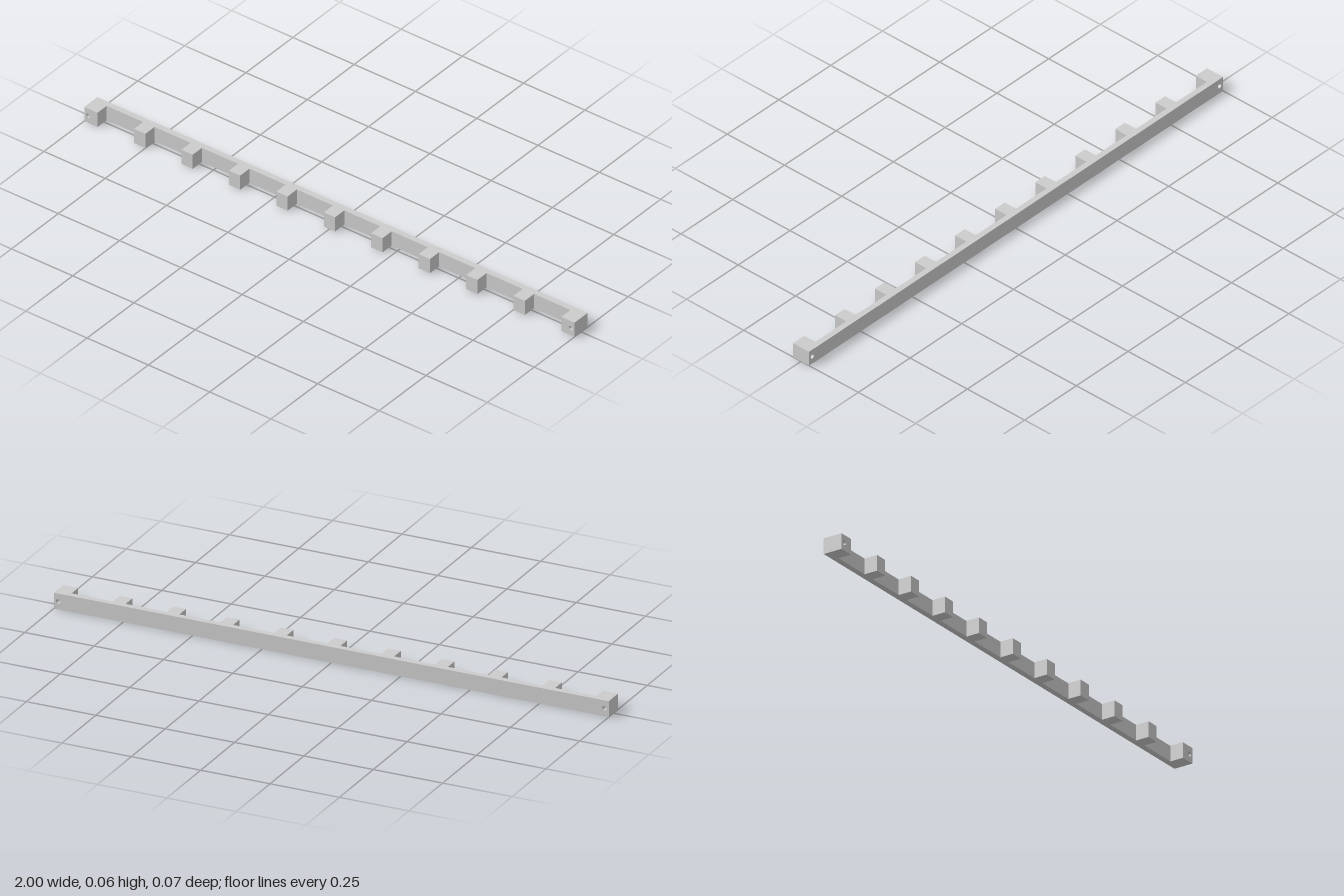
import * as THREE from 'three';

const HEIGHT = 0.056, BACK = -0.035, FRONT = 0.035, RAIL_FRONT = -0.014;
const END_WIDTH = 0.054, TOOTH_WIDTH = 0.046, PITCH = 0.1935, TEETH = 9;
const HOLE_RADIUS = 0.008, HOLE_INSET = 0.016;

const material = new THREE.MeshStandardMaterial({ color: 0xcccccc });

// Back rail with its row of teeth: plan outline extruded upwards
function createToothedRail() {
  const half = 1 - END_WIDTH;
  const plan = new THREE.Shape();
  plan.moveTo(half, -BACK);
  plan.lineTo(-half, -BACK);
  plan.lineTo(-half, -RAIL_FRONT);
  for (let i = 0; i < TEETH; i++) {
    const x = (i - (TEETH - 1) / 2) * PITCH;
    const l = x - TOOTH_WIDTH / 2, r = x + TOOTH_WIDTH / 2;
    plan.lineTo(l, -RAIL_FRONT);
    plan.lineTo(l, -FRONT);
    plan.lineTo(r, -FRONT);
    plan.lineTo(r, -RAIL_FRONT);
  }
  plan.lineTo(half, -RAIL_FRONT);
  plan.closePath();
  const geometry = new THREE.ExtrudeGeometry(plan, { depth: HEIGHT, bevelEnabled: false });
  geometry.rotateX(-Math.PI / 2);
  const mesh = new THREE.Mesh(geometry, material);
  mesh.name = 'toothedRail';
  return mesh;
}

// End block with a screw hole running from front to back
function createEndBlock(side) {
  const inner = side * (1 - END_WIDTH);
  const x0 = Math.min(inner, side), x1 = Math.max(inner, side);
  const face = new THREE.Shape();
  face.moveTo(x0, 0);
  face.lineTo(x1, 0);
  face.lineTo(x1, HEIGHT);
  face.lineTo(x0, HEIGHT);
  face.closePath();
  const hole = new THREE.Path();
  hole.absarc(side * (1 - HOLE_INSET), HEIGHT / 2, HOLE_RADIUS, 0, Math.PI * 2, true);
  face.holes.push(hole);
  const geometry = new THREE.ExtrudeGeometry(face, {
    depth: FRONT - BACK, bevelEnabled: false, curveSegments: 12,
  });
  geometry.translate(0, 0, BACK);
  const mesh = new THREE.Mesh(geometry, material);
  mesh.name = side > 0 ? 'leftEndBlock' : 'rightEndBlock';
  return mesh;
}

export function createModel() {
  const group = new THREE.Group();
  group.name = 'toothedRack';
  group.add(createToothedRail(), createEndBlock(-1), createEndBlock(1));
  return group;
}
